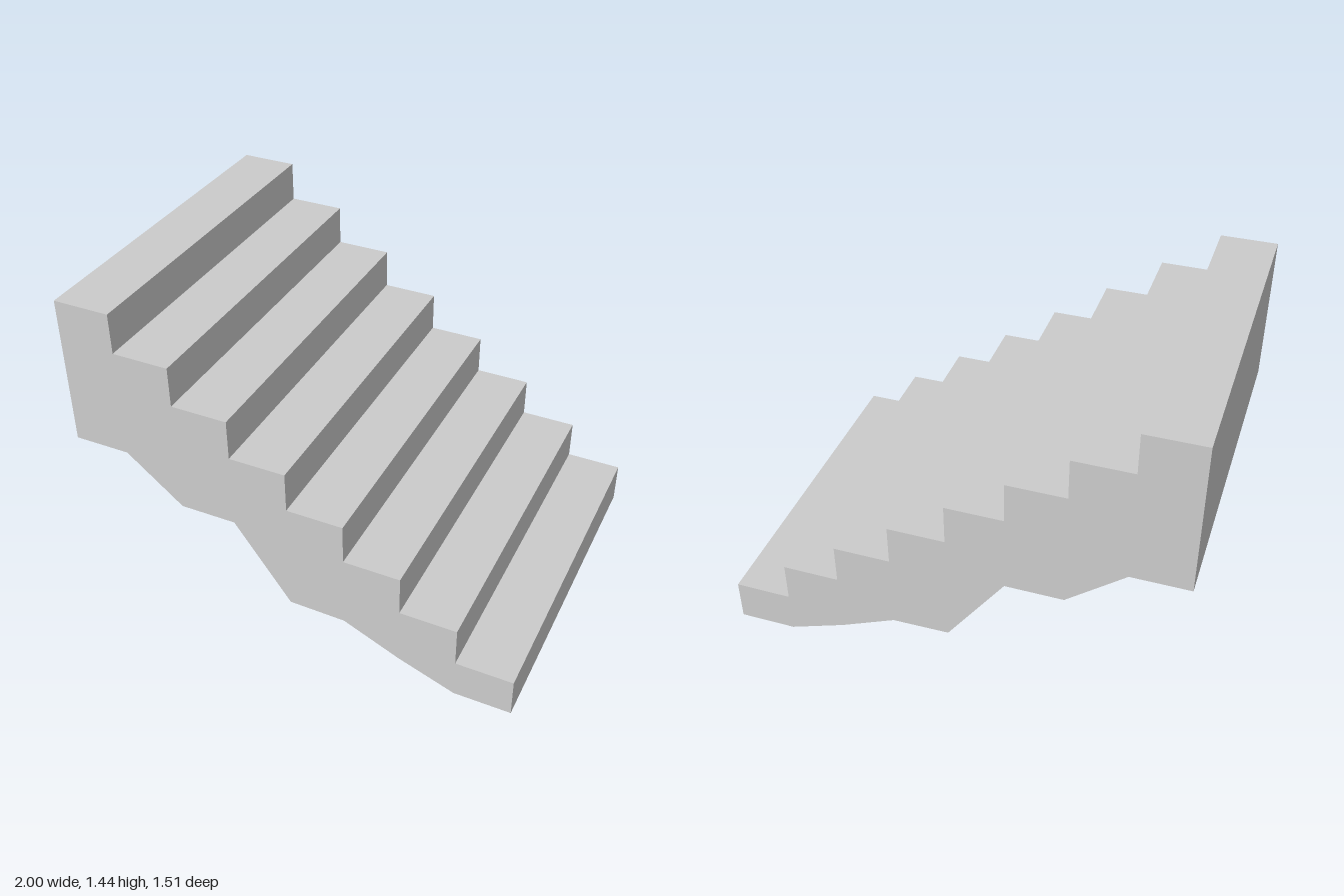
import * as THREE from 'three';

const STEPS = 8, TREAD = 0.2485, WIDTH = 1.51;

// Underside height at each tread boundary, from the top landing down
const underside = [0.77, 0.77, 0.568, 0.568, 0.217, 0.212, 0.1, 0.007, 0.007];

export function createModel() {
  const group = new THREE.Group();
  group.name = 'staircase';
  const material = new THREE.MeshStandardMaterial({ color: 0xcccccc, flatShading: true });
  const edgeX = (i) => -STEPS * TREAD / 2 + i * TREAD;

  // Side outline: along the underside, then back up over the steps
  const profile = new THREE.Shape();
  underside.forEach((y, i) => (i ? profile.lineTo(edgeX(i), y) : profile.moveTo(edgeX(i), y)));
  for (let i = STEPS - 1; i >= 0; i--) {
    const top = 1.446 - i * 0.1795;
    profile.lineTo(edgeX(i + 1), top);
    profile.lineTo(edgeX(i), top);
  }
  profile.closePath();

  const geometry = new THREE.ExtrudeGeometry(profile, { depth: WIDTH, bevelEnabled: false });
  geometry.translate(0, 0, -WIDTH / 2);

  // Slight hand-made skew: the underside dips at the back, the ends shift a little
  const p = geometry.attributes.position;
  for (let i = 0; i < p.count; i++) {
    const x = p.getX(i), y = p.getY(i), side = Math.sign(p.getZ(i));
    const k = Math.round((x - edgeX(0)) / TREAD);
    if (Math.abs(y - underside[k]) < 0.001) p.setY(i, y + side * 0.006);
    p.setX(i, x - side * 0.004);
    p.setZ(i, p.getZ(i) - 0.003);
  }
  geometry.computeVertexNormals();

  const stairs = new THREE.Mesh(geometry, material);
  stairs.name = 'steps';
  group.add(stairs);
  return group;
}
